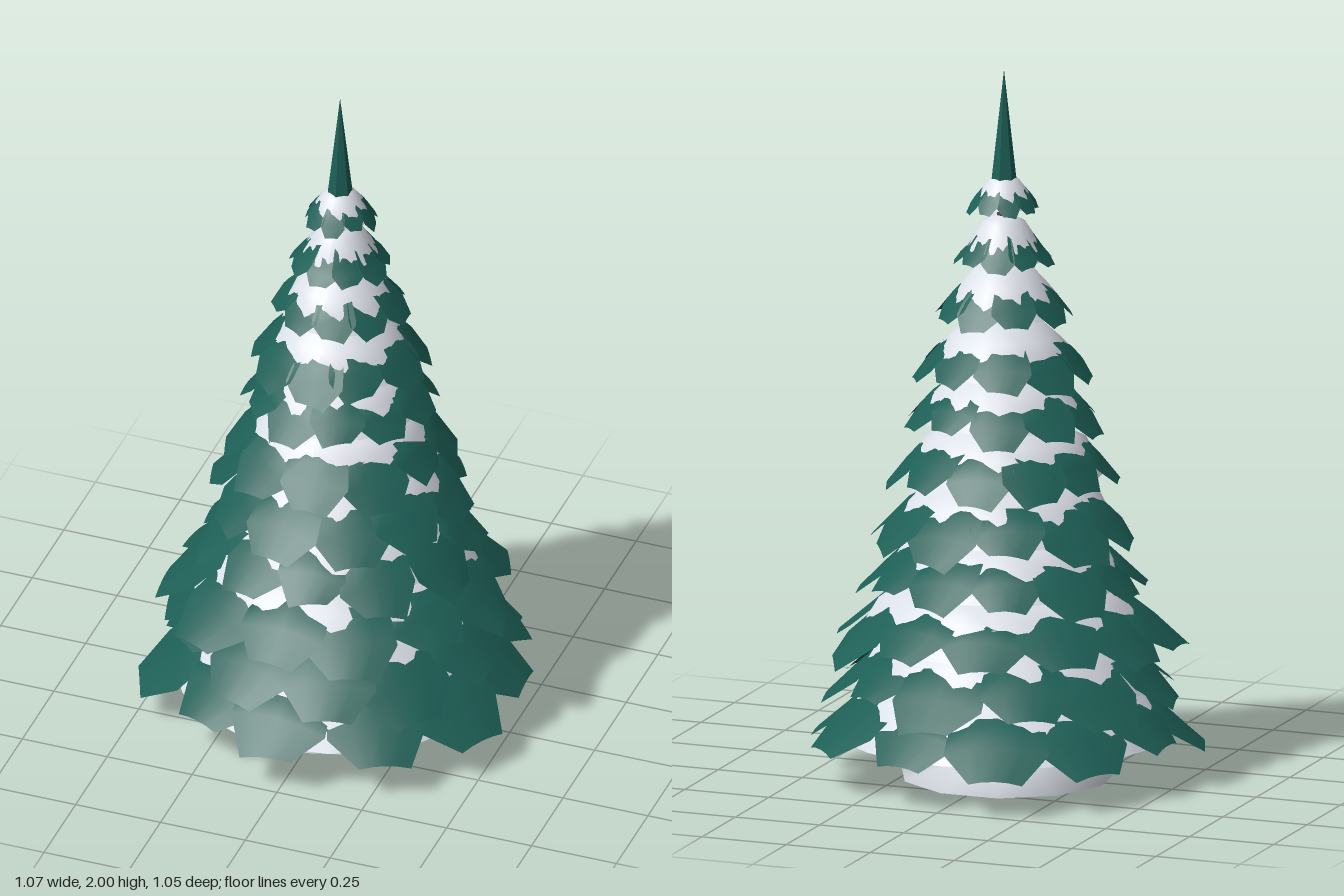
import * as THREE from 'three';
import { mergeGeometries } from 'three/addons/utils/BufferGeometryUtils.js';

const needles = new THREE.MeshStandardMaterial({ name: 'needleGreen', color: 0x1d5f56, side: THREE.DoubleSide });
const snow = new THREE.MeshStandardMaterial({ name: 'snowWhite', color: 0xe2e6ee, side: THREE.DoubleSide });
const bark = new THREE.MeshStandardMaterial({ name: 'barkBrown', color: 0x5e483b });

// tiers from the ground up: tip height, radius, rise of the skirt, rise of the crown, bough count
const TIERS = [
  [0.10, 0.54, 0.13, 0.09, 11], [0.24, 0.485, 0.12, 0.09, 11], [0.38, 0.475, 0.115, 0.09, 11],
  [0.53, 0.395, 0.11, 0.085, 11], [0.68, 0.365, 0.105, 0.08, 10], [0.83, 0.32, 0.105, 0.08, 10],
  [0.99, 0.275, 0.09, 0.08, 10], [1.13, 0.245, 0.085, 0.09, 9], [1.295, 0.195, 0.07, 0.09, 9],
  [1.455, 0.14, 0.045, 0.09, 9], [1.6, 0.1, 0.045, 0.055, 9],
];

let seed = 7;
const rand = () => (seed = (seed * 16807) % 2147483647) / 2147483647;
const jitter = (amount) => (rand() * 2 - 1) * amount;

// height above the tips at radius fraction k: domed crown, then a straight skirt
function rise(k, skirt, crown) {
  const steps = [[0.1, skirt + crown], [0.42, skirt + crown * 0.72], [0.72, skirt], [1, 0]];
  let i = 0;
  while (i < 2 && k > steps[i + 1][0]) i++;
  const [a, b] = [steps[i], steps[i + 1]];
  return a[1] + (b[1] - a[1]) * (k - a[0]) / (b[0] - a[0]);
}

// one blunt-ended bough: a plate with a raised middle and drooping sides
function bough([, radius, skirt, crown, count], angle, reach, drop) {
  const rows = [0.36, 0.55, 0.72, 0.83, 1];
  const widths = [1, 1, 1, 0.95, 0.4];
  const half = Math.tan(Math.PI / count) * 1.18;
  const skew = jitter(0.12);
  const g = new THREE.PlaneGeometry(2, 1, 4, 4);
  const p = g.attributes.position;
  for (let i = 0; i < p.count; i++) {
    const row = Math.floor(i / 5);
    const s = p.getX(i);
    const k = rows[row] * (row > 2 ? reach : 1) * (row === 4 ? 1 + s * skew * 0.3 : 1);
    const side = s * half * widths[row] * k * radius;
    const y = rise(k, skirt, crown) - s * s * 0.045 * radius * widths[row] + s * skew * 0.15 * radius - drop * k * k;
    p.setXYZ(i, side, y, k * radius);
  }
  g.rotateY(angle);
  g.computeVertexNormals();
  return g;
}

// boughs alternate slightly above and below each other
function boughRing(tier, index) {
  const parts = [];
  const count = tier[4];
  for (let i = 0; i < count; i++) {
    const angle = ((i + index * 0.42) / count) * Math.PI * 2 + jitter(0.6 / count);
    const drop = ((i % 2 ? 0.012 : -0.012) + jitter(0.014)) * tier[1];
    parts.push(bough(tier, angle, 0.98 + jitter(0.055), drop));
  }
  return mergeGeometries(parts);
}

// snow dome that lies over the inner boughs and dips beneath their outer ends
function snowCap([, radius, skirt, crown, count]) {
  const n = count * 2;
  const rows = [0.86, 0.73, 0.6, 0.42, 0.25, 0.1, 0.001];
  const lifts = [-0.075, 0, 0.03, 0.03, 0.02, 0.01, 0.01];
  const height = (k, j) => rise(Math.max(k, 0.1), skirt, crown) + lifts[j] * radius;
  const profile = rows.map((k, j) => new THREE.Vector2(k * radius, height(k, j)));
  const g = new THREE.LatheGeometry(profile, n);
  const p = g.attributes.position;
  const ragged = Array.from({ length: n }, (_, i) => (i % 2 ? 0.03 : -0.02) + jitter(0.025));
  for (let i = 0; i <= n; i++) {
    const j = i * rows.length + 1;
    p.setY(j, p.getY(j) + ragged[i % n] * radius);
  }
  g.computeVertexNormals();
  return g;
}

export function createModel() {
  const tree = new THREE.Group();
  tree.name = 'snowyFirTree';
  const add = (name, geometry, material, parent = tree) => {
    const mesh = new THREE.Mesh(geometry, material);
    mesh.name = name;
    parent.add(mesh);
    return mesh;
  };
  const lathe = (points, sides) =>
    new THREE.LatheGeometry(points.map(([x, y]) => new THREE.Vector2(x, y)), sides);

  // tapering trunk, flared at the foot, with a flat base
  add('trunk', lathe([[0.115, 0], [0.095, 0.06], [0.07, 0.18], [0.035, 0.6], [0.02, 1.66]], 8), bark);
  add('trunkBase', new THREE.CircleGeometry(0.115, 8).rotateX(Math.PI / 2), bark);

  // low mound of snow around the foot
  add('snowMound', lathe([[0.1, 0.002], [0.3, 0.002], [0.09, 0.062]], 11), snow).position.x = -0.01;

  // stacked tiers of boughs and snow
  TIERS.forEach((tier, i) => {
    const group = new THREE.Group();
    group.name = `tier${i + 1}`;
    group.position.y = tier[0];
    add('boughs', boughRing(tier, i), needles, group);
    add('snowCap', snowCap(tier), snow, group);
    tree.add(group);
  });

  // pointed leader at the top
  const spire = new THREE.ConeGeometry(0.038, 0.34, 6).toNonIndexed();
  spire.computeVertexNormals();
  add('spire', spire, needles).position.y = 1.83;
  return tree;
}
